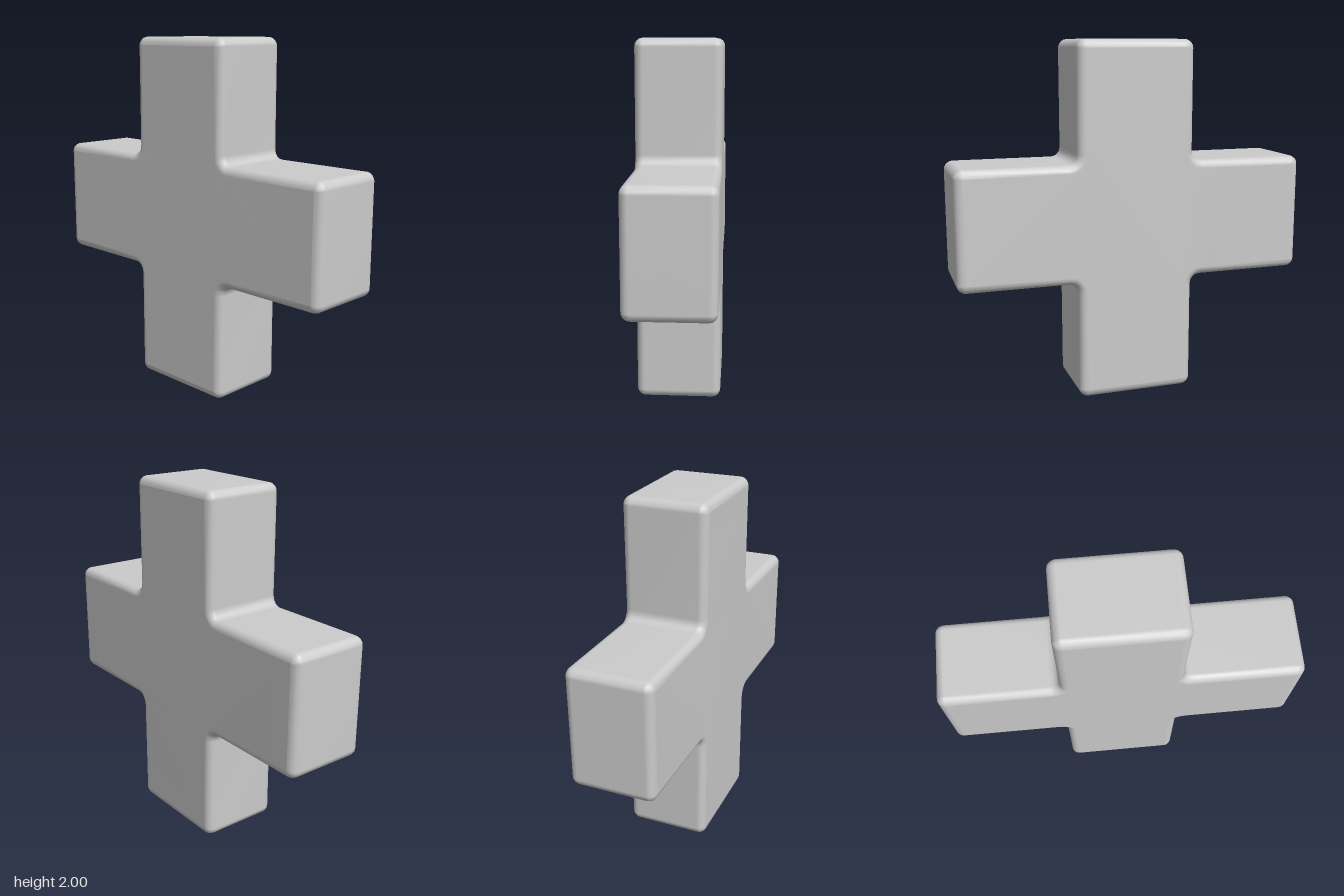
import * as THREE from 'three';
import { mergeVertices } from 'three/addons/utils/BufferGeometryUtils.js';

const BEVEL = 0.045;
const ARM = 0.333 - BEVEL; // half width of an arm before the bevel grows it
const TIP = 1 - BEVEL; // reach of an arm before the bevel
const WIDTH = 0.47; // thickness along x
const STEPS = 4;

// Points along an arc around (cx, cy), angles in quarter turns
function arc(cx, cy, r, from, to) {
  return Array.from({ length: STEPS + 1 }, (_, i) => {
    const t = (from + ((to - from) * i) / STEPS) * Math.PI / 2;
    return new THREE.Vector2(cx + r * Math.cos(t), cy + r * Math.sin(t));
  });
}

// Cross outline: one arm repeated four times, each with a filleted inner corner
function crossOutline() {
  const fillet = BEVEL + 0.05;
  const corner = 0.006;
  const arm = [
    ...arc(ARM + fillet, -ARM - fillet, fillet, 2, 1),
    ...arc(TIP - corner, -ARM + corner, corner, -1, 0),
    ...arc(TIP - corner, ARM - corner, corner, 0, 1),
  ];
  const origin = new THREE.Vector2();
  const points = [];
  for (let k = 0; k < 4; k++) {
    for (const p of arm) points.push(p.clone().rotateAround(origin, k * Math.PI / 2));
  }
  return new THREE.Shape(points);
}

export function createModel() {
  const group = new THREE.Group();
  group.name = 'plusSign';

  // Thick cross with rounded edges
  let geometry = new THREE.ExtrudeGeometry(crossOutline(), {
    depth: WIDTH - 2 * BEVEL,
    bevelEnabled: true,
    bevelSize: BEVEL,
    bevelThickness: BEVEL,
    bevelSegments: STEPS,
  });
  geometry.translate(0, 0, BEVEL - WIDTH / 2);
  geometry.rotateY(Math.PI / 2);
  geometry.translate(0, 1, 0);

  // Share vertices so the rounded edges shade smoothly
  geometry.deleteAttribute('uv');
  geometry.deleteAttribute('normal');
  geometry = mergeVertices(geometry, 1e-4);
  geometry.computeVertexNormals();

  const cross = new THREE.Mesh(geometry, new THREE.MeshStandardMaterial({ color: 0xcccccc }));
  cross.name = 'crossBody';
  group.add(cross);
  return group;
}
